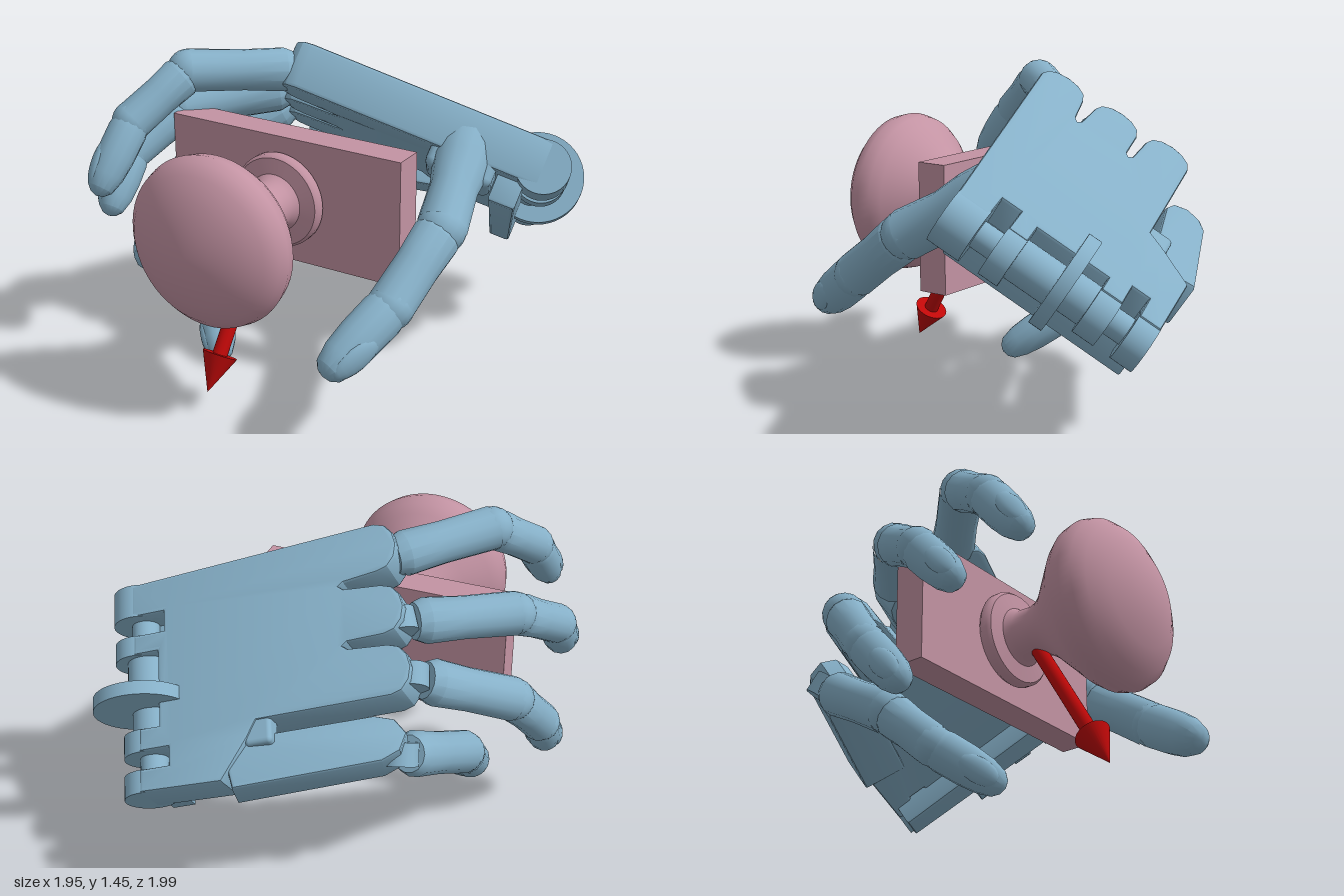
import * as THREE from 'three';
import { toCreasedNormals } from 'three/addons/utils/BufferGeometryUtils.js';
import { RoundedBoxGeometry } from 'three/addons/geometries/RoundedBoxGeometry.js';

const V = (x, y, z) => new THREE.Vector3(x, y, z);
const blue = new THREE.MeshStandardMaterial({ color: 0x86b0c8 });
const pink = new THREE.MeshStandardMaterial({ color: 0xc393a3 });
const red = new THREE.MeshStandardMaterial({ color: 0xc00808 });

function add(parent, name, geometry, material, x = 0, y = 0, z = 0) {
  const mesh = new THREE.Mesh(geometry, material);
  mesh.name = name;
  mesh.position.set(x, y, z);
  parent.add(mesh);
  return mesh;
}

const lathe = (points, sides) =>
  new THREE.LatheGeometry(points.map(([r, y]) => new THREE.Vector2(r, y)), sides);

// Flat outline extruded downwards from height top, with a small bevel
function slab(points, top, depth, bevel = 0.015) {
  const shape = new THREE.Shape(points.map(([x, y]) => new THREE.Vector2(x, y)));
  const g = new THREE.ExtrudeGeometry(shape, {
    depth: depth - 2 * bevel, bevelThickness: bevel, bevelSize: bevel,
    bevelOffset: -bevel, bevelSegments: 2,
  });
  g.translate(0, 0, top - depth + bevel);
  return toCreasedNormals(g, 0.5);
}

// Group whose y runs along a bone and whose z faces the back of the finger
function boneFrame(parent, name, from, dir, hinge) {
  const x = hinge.clone().negate();
  const g = new THREE.Group();
  g.name = name;
  g.quaternion.setFromRotationMatrix(
    new THREE.Matrix4().makeBasis(x, dir, x.clone().cross(dir)));
  g.position.copy(from);
  parent.add(g);
  return g;
}

// Three bones through four points, with round joints and a nail
function finger(parent, name, p, r, thumb = false) {
  const root = new THREE.Group();
  root.name = name;
  parent.add(root);
  const dirs = [0, 1, 2].map(i => p[i + 1].clone().sub(p[i]).normalize());
  const hinge = dirs[0].clone().cross(dirs[2]).normalize();
  const names = ['proximalBone', 'middleBone', 'distalBone'];
  for (let i = 0; i < 3; i++) {
    const L = p[i].distanceTo(p[i + 1]);
    const h = hinge.clone().addScaledVector(dirs[i], -hinge.dot(dirs[i])).normalize();
    const frame = boneFrame(root, names[i], p[i], dirs[i], h);
    const a = r * (1 - 0.06 * i);
    // The first bone leaves a gap at the knuckle, the last ends in a rounded tip
    const profiles = [
      [[0, 0.07], [a * 0.8, 0.07], [a, 0.12], [a * 0.93, L * 0.55], [a * 0.97, L]],
      [[a * 0.8, 0], [a, 0.05], [a * 0.93, L * 0.5], [a * 0.95, L]],
      [[0, 0.02], [a * 0.94, 0.02], [a, 0.05], [a * 0.98, L * 0.55], [a * 0.88, L * 0.85],
        [a * 0.66, L + 0.02], [a * 0.37, L + 0.045], [0, L + 0.055]],
    ];
    if (thumb && i === 0) profiles[0].splice(0, 3, [0, 0], [a * 1.15, 0], [a * 1.12, 0.12]);
    const bone = add(frame, names[i], toCreasedNormals(lathe(profiles[i], 14), 0.6), blue);
    bone.scale.z = 0.96;
    if (i === 0) {
      const pin = new THREE.CylinderGeometry(a * 0.78, a * 0.78, a, 20);
      add(frame, 'knuckleHinge', pin.rotateZ(Math.PI / 2), blue);
    } else {
      add(frame, 'joint', new THREE.SphereGeometry(a * 0.99, 16, 12), blue);
    }
    if (i === 2) {
      const nail = add(frame, 'nail', new THREE.SphereGeometry(1, 16, 10), blue,
        0, L * 0.76, a * 0.62);
      nail.scale.set(a * 0.6, L * 0.34, a * 0.33);
      nail.rotation.x = -0.14;
    }
  }
}

// Palm in its own frame: x to the wrist, y from index to little side, z out of the back
function buildPalm(model) {
  const palm = new THREE.Group();
  palm.name = 'palm';
  const e1 = V(0.928, -0.287, -0.238).normalize();
  const e3 = V(0.085, 0.783, -0.616);
  e3.addScaledVector(e1, -e3.dot(e1)).normalize();
  palm.quaternion.setFromRotationMatrix(
    new THREE.Matrix4().makeBasis(e1, e3.clone().cross(e1), e3));
  palm.position.set(-0.2, 1.4, -0.05);
  model.add(palm);

  // Back plate: three rounded knuckle tabs, then the slotted wrist edge
  const outline = [];
  [0.0, 0.285, 0.555].forEach((t, k) => {
    if (k) outline.push([0.19, t - 0.155], [0.21, t - 0.14], [0.19, t - 0.125]);
    for (let i = 0; i <= 6; i++) {
      const a = Math.PI * i / 6;
      outline.push([-0.01 * k - 0.09 * Math.sin(a) + 0.04, t - 0.112 * Math.cos(a)]);
    }
  });
  outline.push([0.6, 0.67], [0.64, 0.74], [0.76, 0.91],
    [1.12, 0.9], [1.12, 0.8], [0.99, 0.8], [0.99, 0.72], [1.12, 0.72], [1.12, 0.62], [1.03, 0.62],
    [1.03, 0.28], [1.14, 0.28], [1.14, 0.19], [1.0, 0.19], [1.0, 0.1], [1.15, 0.1], [1.15, -0.05]);
  add(palm, 'backPlate', slab(outline.reverse(), 0, 0.21), blue);

  // Wrist block and thumb mount
  add(palm, 'wristBlock', slab(
    [[0.98, 0.02], [1.1, 0.02], [1.1, 0.88], [1.0, 0.88]], -0.14, 0.19), blue);
  add(palm, 'thumbMount', new RoundedBoxGeometry(0.3, 0.26, 0.16, 2, 0.04), blue,
    0.82, 0.07, -0.22);

  // Wrist lugs with smaller barrels between: [centre, width, radius, x]
  for (const [t, w, r, x] of [[0.025, 0.15, 0.12, 1.15], [0.145, 0.1, 0.06, 1.13],
    [0.235, 0.09, 0.115, 1.15], [0.37, 0.18, 0.09, 1.12], [0.57, 0.12, 0.09, 1.1],
    [0.67, 0.1, 0.11, 1.12], [0.76, 0.08, 0.06, 1.1], [0.85, 0.1, 0.11, 1.12]]) {
    add(palm, 'wristLug', new THREE.CylinderGeometry(r, r, w, 32), blue, x, t, -0.12);
  }
  add(palm, 'wristDisc', new THREE.CylinderGeometry(0.21, 0.21, 0.06, 48), blue, 1.13, 0.49, -0.07);

  // Folding bone of the little finger
  const fold = add(palm, 'littleFingerBase', slab(
    [[0.7, -0.11], [0.68, 0.1], [0.06, 0.1], [-0.02, 0.07], [-0.06, 0], [-0.02, -0.07], [0.06, -0.1]],
    0.09, 0.21), blue, 0.09, 0.775, -0.25);
  fold.rotation.set(0, -0.22, 0.1);
  add(palm, 'foldHinge', new RoundedBoxGeometry(0.12, 0.12, 0.1, 2, 0.02), blue, 0.6, 0.71, -0.06);
}

export function createModel() {
  const model = new THREE.Group();
  model.name = 'handGraspingKnob';
  buildPalm(model);

  finger(model, 'indexFinger',
    [V(-0.17, 1.31, -0.03), V(-0.55, 1.35, 0.35), V(-0.68, 1.17, 0.59), V(-0.71, 0.94, 0.78)], 0.1);
  finger(model, 'middleFinger',
    [V(-0.33, 1.15, -0.22), V(-0.73, 1.08, 0.14), V(-0.86, 0.92, 0.38), V(-0.85, 0.73, 0.55)], 0.1);
  finger(model, 'ringFinger',
    [V(-0.45, 1.02, -0.4), V(-0.8, 0.79, -0.07), V(-0.88, 0.56, 0.13), V(-0.87, 0.36, 0.3)], 0.1);
  finger(model, 'littleFinger',
    [V(-0.45, 0.7, -0.5), V(-0.58, 0.41, -0.01), V(-0.55, 0.21, 0.21), V(-0.4, 0.055, 0.4)], 0.1);
  finger(model, 'thumb',
    [V(0.52, 1.04, -0.2), V(0.615, 0.82, 0.21), V(0.56, 0.59, 0.54), V(0.45, 0.41, 0.82)], 0.116, true);

  // Mounting plate and turned knob
  add(model, 'plate', new THREE.BoxGeometry(1.15, 0.57, 0.14), pink, -0.125, 0.815, 0.2);
  const knobProfile = [[0, 0.26], [0.2, 0.27], [0.212, 0.285], [0.212, 0.315], [0.2, 0.33],
    [0.13, 0.34], [0.112, 0.37], [0.11, 0.44], [0.125, 0.49], [0.16, 0.54], [0.24, 0.62],
    [0.33, 0.71], [0.362, 0.755], [0.375, 0.81], [0.362, 0.86], [0.32, 0.905], [0.23, 0.955],
    [0.12, 0.988], [0, 1.0]];
  const knob = add(model, 'knob', toCreasedNormals(lathe(knobProfile, 64), 0.7), pink, -0.13, 0.82, 0);
  knob.rotation.x = Math.PI / 2;

  // Arrow from inside the knob, pointing down and forwards
  const tail = V(-0.13, 0.82, 0.38), tip = V(-0.18, 0.1, 0.807);
  const L = tail.distanceTo(tip);
  const arrow = new THREE.Group();
  arrow.name = 'arrow';
  arrow.position.copy(tail);
  arrow.quaternion.setFromUnitVectors(V(0, 1, 0), tip.clone().sub(tail).normalize());
  add(arrow, 'arrowShaft', new THREE.CylinderGeometry(0.033, 0.033, L - 0.17, 24), red, 0, (L - 0.17) / 2);
  add(arrow, 'arrowHead', new THREE.ConeGeometry(0.077, 0.17, 32), red, 0, L - 0.085);
  model.add(arrow);
  return model;
}
